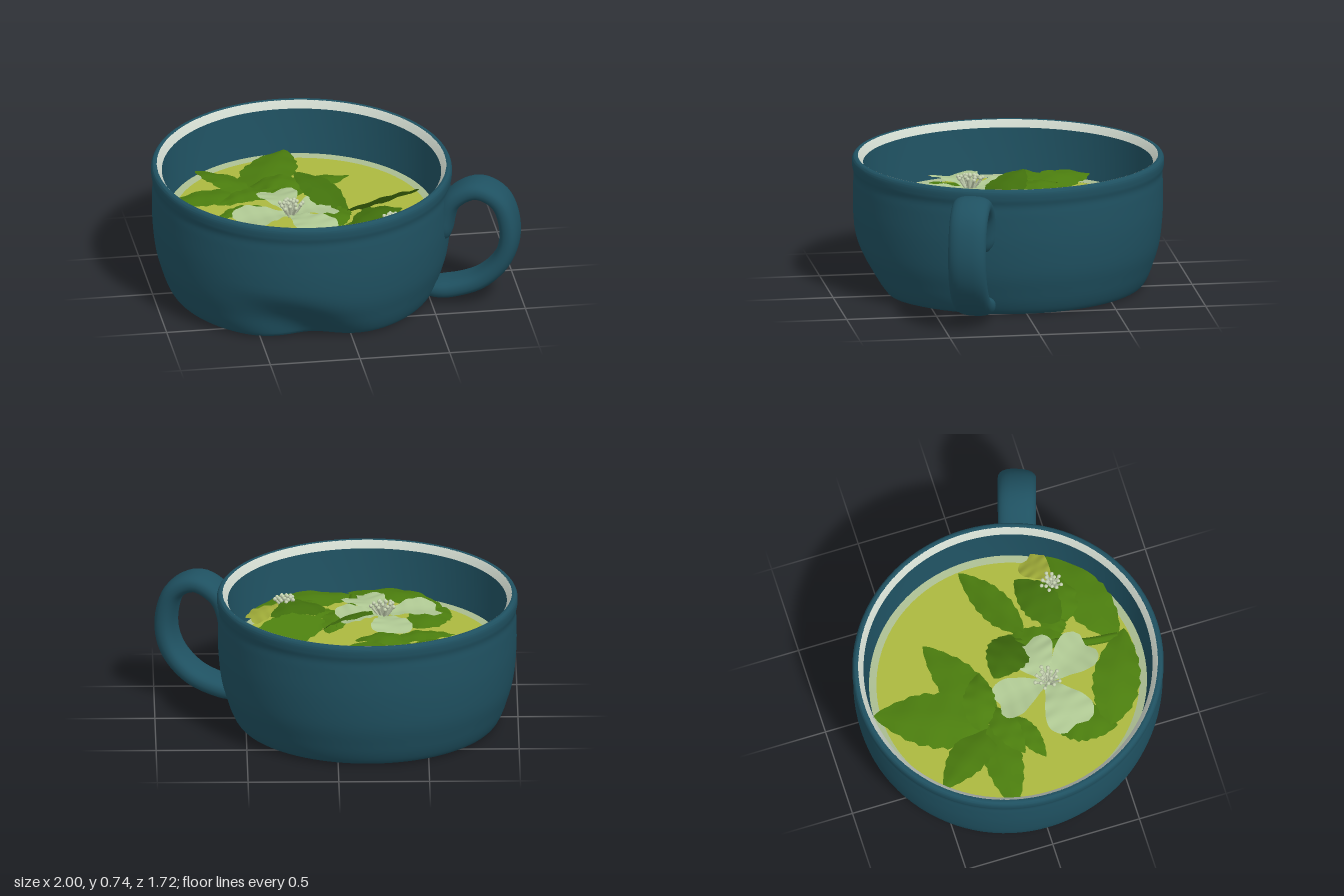
import * as THREE from 'three';
import { toCreasedNormals } from 'three/addons/utils/BufferGeometryUtils.js';

const CX = -0.17, ZS = 1.039, TEA_Y = 0.425;

function mat(name, color, double) {
  const m = new THREE.MeshStandardMaterial({ color });
  m.name = name;
  if (double) m.side = THREE.DoubleSide;
  return m;
}

export function createModel() {
  const teal = mat('teal glaze', 0x1f5161), white = mat('white rim glaze', 0xced7cc, true);
  const tea = mat('tea', 0xacb940), pale = mat('pale tea edge', 0xa9bb90);
  const leafGreen = mat('leaf green', 0x4b7d0e, true), darkGreen = mat('dark leaf green', 0x41700c, true);
  const petalMat = mat('pale petal', 0xafc893, true), yellow = mat('yellow petal', 0x9fab38, true);
  const stamenMat = mat('stamen', 0xc6d2b2);

  const model = new THREE.Group();
  model.name = 'teacup';
  const add = (name, geo, material, parent = model) => {
    const mesh = new THREE.Mesh(geo, material);
    mesh.name = name;
    parent.add(mesh);
    return mesh;
  };
  const vecs = (pts) => pts.map(([x, y]) => new THREE.Vector2(x, y));

  // Slightly oval turned surface
  const turn = (pts) => new THREE.LatheGeometry(pts, 96).scale(1, 1, ZS).translate(CX, 0, 0);

  // Cup wall, with a soft slanting hollow low on the front
  const outer = new THREE.SplineCurve(vecs([
    [0.69, 0], [0.72, 0.014], [0.747, 0.06], [0.772, 0.13], [0.805, 0.25], [0.822, 0.42], [0.822, 0.57],
    [0.819, 0.635], [0.827, 0.675], [0.828, 0.712], [0.82, 0.73], [0.81, 0.735], [0.796, 0.732],
  ])).getPoints(56);
  const floor = vecs([[0, 0], [0.25, 0], [0.5, 0], [0.62, 0]]);
  const wall = new THREE.LatheGeometry([...floor, ...outer], 96);
  const wp = wall.attributes.position;
  for (let i = 0; i < wp.count; i++) {
    const x = wp.getX(i), y = wp.getY(i), z = wp.getZ(i);
    const a = (Math.atan2(x, z) + 0.06 + y) / 0.3;
    const k = 1 - 0.16 * Math.exp(-a * a) * (1 - THREE.MathUtils.smoothstep(y, 0, 0.34));
    wp.setXYZ(i, x * k + CX, y, z * k * ZS);
  }
  add('cupWall', toCreasedNormals(wall, 0.9), teal);
  add('rimBand', turn(vecs([[0.797, 0.733], [0.786, 0.72], [0.769, 0.693]])), white);
  add('innerWall', turn(vecs([[0.769, 0.693], [0.758, 0.58], [0.745, 0.48], [0.735, 0.4]])), teal);

  // Tea surface and its pale edge
  add('teaSurface', turn(vecs([[0.705, TEA_Y], [0, TEA_Y]])), tea);
  add('teaEdge', turn(vecs([[0.745, TEA_Y + 0.012], [0.7, TEA_Y + 0.002]])), pale);

  // Handle: a flattened band swept around an ear-shaped path, tapering into the cup
  const path = new THREE.CatmullRomCurve3([
    [0.582, 0.36], [0.584, 0.48], [0.632, 0.61], [0.76, 0.683], [0.88, 0.62], [0.932, 0.44],
    [0.9, 0.28], [0.79, 0.15], [0.64, 0.085], [0.44, 0.06],
  ].map(([x, y]) => new THREE.Vector3(x, y, 0.397 - 0.31 * (0.94 - x))));
  const side = new THREE.Vector3(-0.34, 0, 0.94), N = 56, M = 24;
  const hp = [], hi = [];
  for (let i = 0; i <= N; i++) {
    const t = i / N, c = path.getPointAt(t), tan = path.getTangentAt(t);
    const nor = new THREE.Vector3().crossVectors(side, tan).normalize();
    const e = Math.min(1, t / 0.07, (1 - t) / 0.12), s = Math.sqrt(1 - (1 - e) ** 2);
    for (let j = 0; j < M; j++) {
      const a = (j / M) * Math.PI * 2, ca = Math.cos(a), sa = Math.sin(a);
      const u = Math.sign(ca) * Math.abs(ca) ** 0.75 * 0.106 * s;
      const v = Math.sign(sa) * Math.abs(sa) ** 0.85 * 0.054 * s;
      const p = c.clone().addScaledVector(side, u).addScaledVector(nor, v);
      hp.push(p.x, Math.max(p.y, 0.002), p.z);
      if (i < N) {
        const k = (j + 1) % M, A = i * M + j, B = i * M + k;
        hi.push(A, A + M, B, B, A + M, B + M);
      }
    }
  }
  const handle = new THREE.BufferGeometry();
  handle.setAttribute('position', new THREE.Float32BufferAttribute(hp, 3));
  handle.setIndex(hi);
  handle.computeVertexNormals();
  add('handle', handle, teal);

  // Leaf or petal: a bent grid from base to tip; fold lowers the edges, tilt raises one side
  function blade(b, t, width, { arch = 0.03, fold = 0.15, tilt = 0, round = false } = {}) {
    const n = 24, m = 6, geo = new THREE.PlaneGeometry(1, 1, m, n), p = geo.attributes.position;
    const dx = t[0] - b[0], dz = t[2] - b[2], len = Math.hypot(dx, dz);
    for (let i = 0; i < p.count; i++) {
      const s = p.getX(i) * 2, f = 0.5 - p.getY(i);
      let w = round
        ? 0.14 + 0.86 * Math.sin(Math.PI * Math.min(1, 0.02 + f * 0.9) ** 1.9) ** 0.65
        : Math.sin(Math.PI * f ** 0.85) ** 0.8;
      if (round && f > 0.97) w *= 0.75;
      if (!round) w *= 1 + 0.05 * ((Math.round(f * n) % 3) - 1) * Math.abs(s);
      const o = (s * w * width) / 2;
      const notch = round ? -0.07 * f * f * (1 - Math.abs(s)) : 0;
      const g = f + notch;
      const y = b[1] + (t[1] - b[1]) * f + arch * Math.sin(Math.PI * f)
        - fold * Math.abs(o) + tilt * o + 0.004 * Math.sin(f * 22) * s;
      p.setXYZ(i, b[0] + dx * g - (dz / len) * o, Math.max(y, TEA_Y + 0.004), b[2] + dz * g + (dx / len) * o);
    }
    geo.computeVertexNormals();
    return geo;
  }

  // Leaves: base x, y, z, tip x, y, z, width, arch, tilt, dark
  const leaves = new THREE.Group();
  leaves.name = 'leaves';
  model.add(leaves);
  [
    [-0.4, 0.47, -0.18, -0.15, 0.46, -0.77, 0.31, 0.04, 0.1],
    [-0.4, 0.46, -0.15, -0.68, 0.48, -0.53, 0.22, 0.04, -0.2],
    [-0.38, 0.48, -0.15, -0.9, 0.46, -0.18, 0.21, 0.03, 0],
    [-0.4, 0.47, -0.13, 0.16, 0.46, -0.39, 0.23, 0.03, 0.1],
    [-0.42, 0.5, -0.24, -0.1, 0.51, -0.15, 0.18, 0.05, 0],
    [-0.3, 0.5, -0.15, -0.62, 0.5, -0.04, 0.15, 0.03, 0],
    [-0.38, 0.47, -0.04, -0.66, 0.46, 0.07, 0.12, 0.02, 0],
    [0.06, 0.51, 0.16, 0.5, 0.49, -0.08, 0.15, 0.01, 0.8],
    [0.06, 0.47, 0.14, -0.2, 0.64, -0.09, 0.24, 0.04, 0, 1],
    [0.04, 0.48, 0.04, -0.05, 0.48, 0.4, 0.15, 0.04, 0],
    [0.0, 0.47, 0.28, 0.14, 0.47, 0.4, 0.14, 0.03, 0],
    [-0.45, 0.46, 0.16, -0.6, 0.46, 0.5, 0.24, 0.03, 0],
    [-0.59, 0.47, 0.46, -0.07, 0.47, 0.7, 0.26, 0.05, -0.1],
    [-0.11, 0.47, 0.65, 0.48, 0.47, 0.42, 0.25, 0.04, 0],
    [0.06, 0.51, 0.37, 0.36, 0.52, 0.2, 0.21, 0.04, 0.1, 1],
    [0.05, 0.48, 0.36, 0.34, 0.48, 0.47, 0.2, 0.04, 0],
  ].forEach(([bx, by, bz, tx, ty, tz, w, arch, tilt, dark]) =>
    add('leaf', blade([bx, by, bz], [tx, ty, tz], w, { arch, tilt }), dark ? darkGreen : leafGreen, leaves));

  // Stem
  const stem = new THREE.CatmullRomCurve3([
    [0.02, 0.49, 0.1], [-0.04, 0.49, 0.3], [-0.09, 0.48, 0.48], [-0.1, 0.46, 0.65],
  ].map((p) => new THREE.Vector3(...p)));
  add('stem', new THREE.TubeGeometry(stem, 16, 0.024, 8), leafGreen);

  // Cluster of stamens leaning outward
  function stamens(x, y, z, r, h, parent) {
    const n = 16;
    for (let i = 0; i < n; i++) {
      const a = i * 2.4, q = r * Math.sqrt((i + 0.5) / n);
      const root = new THREE.Vector3(x + 0.3 * q * Math.cos(a), y, z + 0.3 * q * Math.sin(a));
      const top = new THREE.Vector3(x + q * Math.cos(a), y + h * (1 - 0.25 * (q / r)), z + q * Math.sin(a));
      add('stamen', new THREE.TubeGeometry(new THREE.LineCurve3(root, top), 1, 0.007, 5), stamenMat, parent);
      add('anther', new THREE.SphereGeometry(0.011, 8, 6).translate(top.x, top.y, top.z), stamenMat, parent);
    }
  }

  // Open flower with four petals
  const flower = new THREE.Group();
  flower.name = 'flower';
  model.add(flower);
  const fx = -0.26, fz = 0.2;
  [[-0.32, -0.11, 0.23], [-0.01, 0.14, 0.27], [-0.11, 0.48, 0.25], [-0.57, 0.28, 0.28]].forEach(([x, z, w]) =>
    add('petal', blade([fx, 0.525, fz], [x, 0.525, z], w, { arch: 0.02, fold: -0.12, round: true }), petalMat, flower));
  stamens(fx, 0.52, fz, 0.075, 0.085, flower);

  // Half-hidden small blossom
  const blossom = new THREE.Group();
  blossom.name = 'smallBlossom';
  model.add(blossom);
  add('yellowPetal', blade([0.3, 0.52, 0.4], [0.48, 0.47, 0.3], 0.17, { arch: 0.01, round: true }), yellow, blossom);
  stamens(0.28, 0.51, 0.39, 0.06, 0.06, blossom);

  return model;
}
